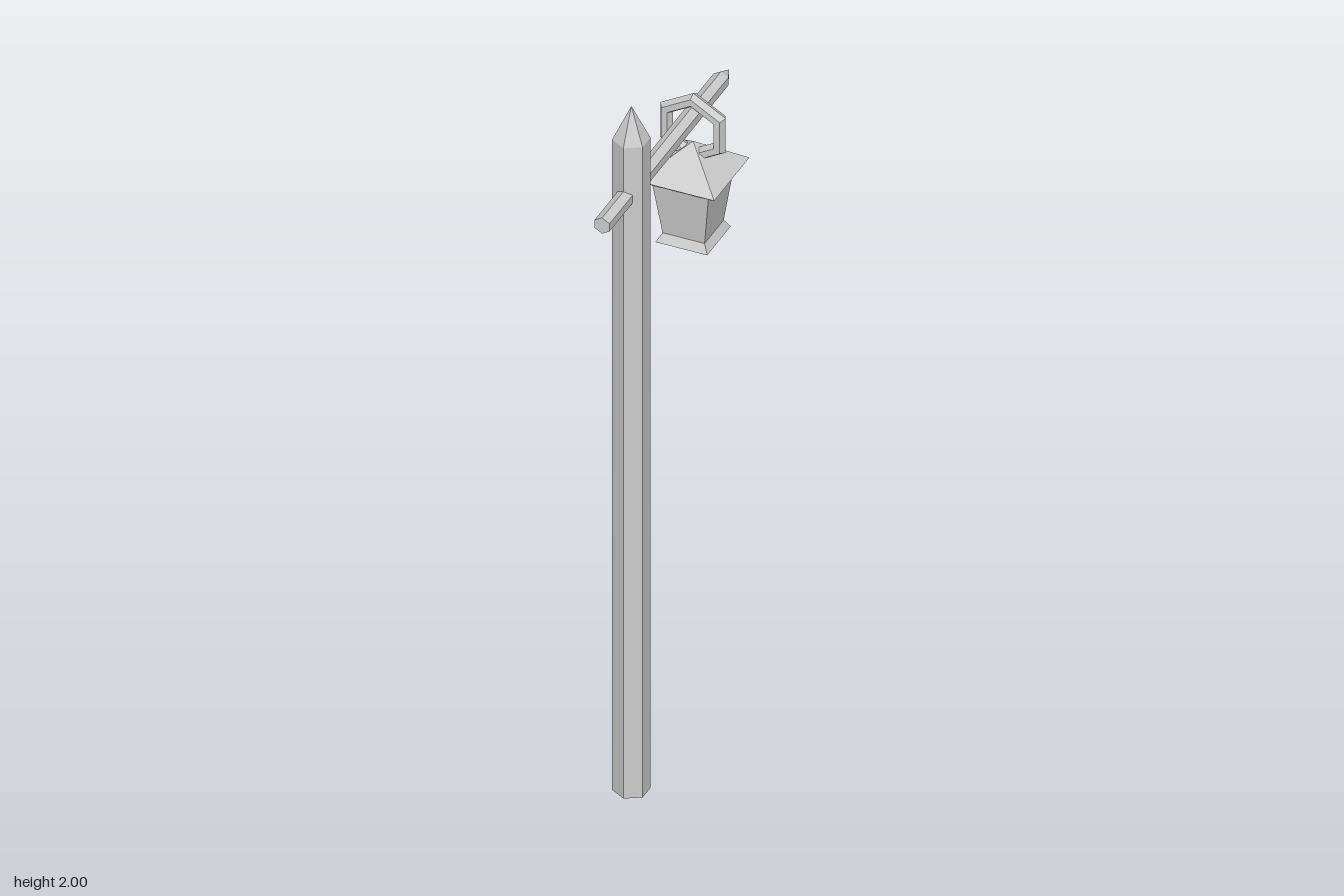
import * as THREE from 'three';

const material = new THREE.MeshStandardMaterial({ color: 0xcccccc, flatShading: true });

function add(parent, name, geometry, x = 0, y = 0, z = 0) {
  const mesh = new THREE.Mesh(geometry, material);
  mesh.name = name;
  mesh.position.set(x, y, z);
  parent.add(mesh);
  return mesh;
}

// Hexagonal pole along +y from the origin, ending in a pointed tip
function addPole(parent, name, radius, shaftLength, tipLength) {
  const pole = new THREE.Group();
  pole.name = name;
  add(pole, name + 'Shaft', new THREE.CylinderGeometry(radius, radius, shaftLength, 6), 0, shaftLength / 2);
  add(pole, name + 'Tip', new THREE.ConeGeometry(radius, tipLength, 6), 0, shaftLength + tipLength / 2);
  parent.add(pole);
  return pole;
}

// Square tapered block given by its half widths and its bottom and top heights
function addSquare(parent, name, halfBottom, halfTop, y0, y1) {
  const geometry = new THREE.CylinderGeometry(halfTop * Math.SQRT2, halfBottom * Math.SQRT2, y1 - y0, 4);
  geometry.rotateY(Math.PI / 4);
  add(parent, name, geometry, 0, (y0 + y1) / 2);
}

export function createModel() {
  const model = new THREE.Group();
  model.name = 'lanternPost';

  // Upright post
  addPole(model, 'post', 0.047, 1.905, 0.095).position.z = 0.2;

  // Cross arm through the post, pointing backwards
  const arm = addPole(model, 'arm', 0.023, 0.695, 0.047);
  arm.rotation.x = -Math.PI / 2;
  arm.position.set(0, 1.755, 0.371);

  // Lantern hanging from the arm
  const lantern = new THREE.Group();
  lantern.name = 'lantern';
  lantern.position.z = -0.161;
  model.add(lantern);

  const ring = add(lantern, 'hangingRing', new THREE.TorusGeometry(0.081, 0.019, 6, 6), 0, 1.715);
  ring.rotation.z = Math.PI / 6;

  addSquare(lantern, 'roof', 0.103, 0, 1.592, 1.675);
  addSquare(lantern, 'eaves', 0.082, 0.103, 1.575, 1.592);
  addSquare(lantern, 'lanternBody', 0.056, 0.075, 1.425, 1.575);
  addSquare(lantern, 'lanternBase', 0.069, 0.056, 1.402, 1.425);

  return model;
}
